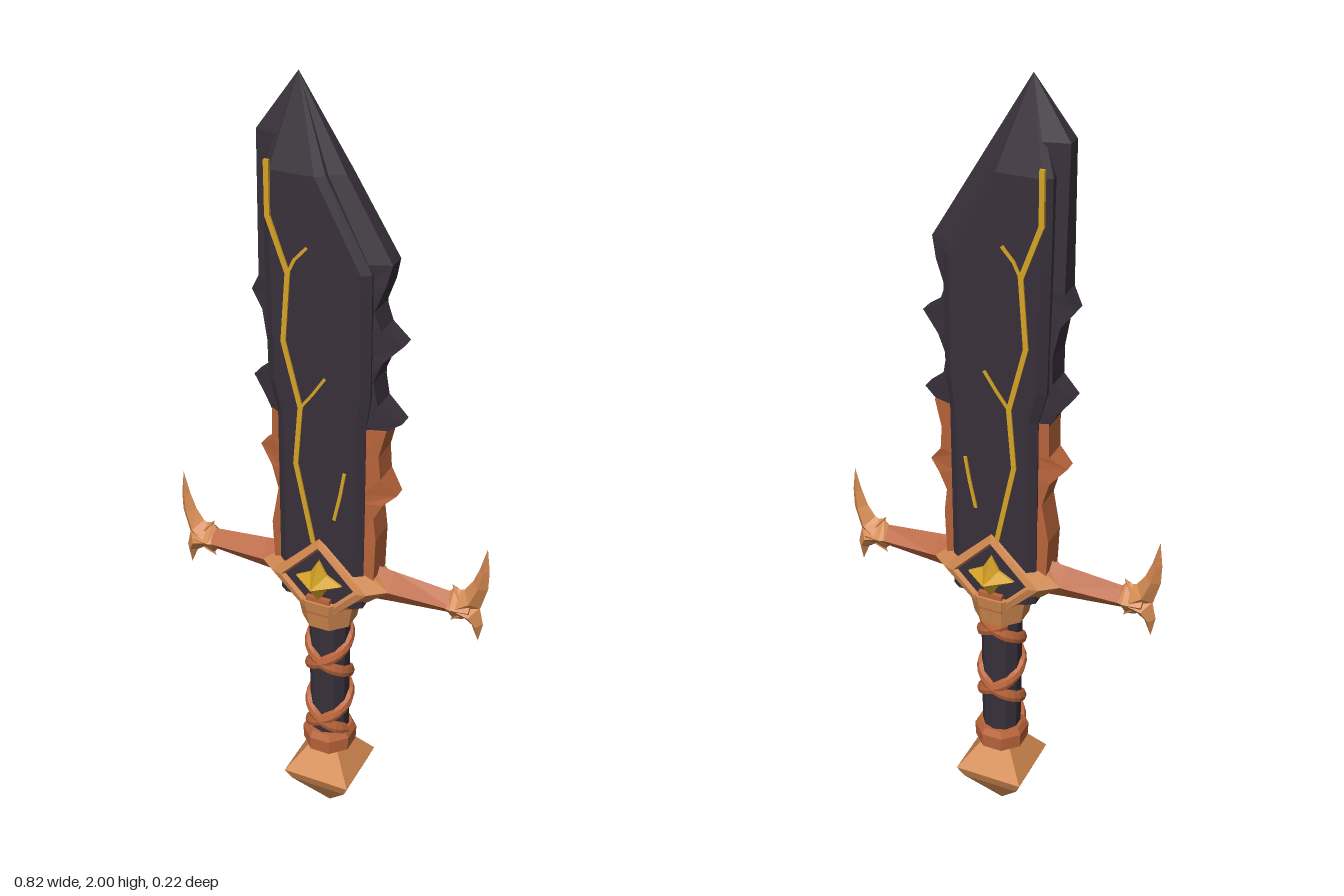
import * as THREE from 'three';

const mat = (name, color) => {
  const m = new THREE.MeshStandardMaterial({ color, flatShading: true });
  m.name = name;
  return m;
};

// Skin a list of equal-length point rings, cap both ends, and face outward.
function loft(rings) {
  const pos = [];
  const tri = (a, b, c) => pos.push(...a, ...b, ...c);
  const n = rings[0].length;
  for (let i = 0; i < rings.length - 1; i++) {
    for (let j = 0; j < n; j++) {
      const k = (j + 1) % n, a = rings[i], b = rings[i + 1];
      tri(a[j], a[k], b[k]);
      tri(a[j], b[k], b[j]);
    }
  }
  const first = rings[0], last = rings[rings.length - 1];
  for (let j = 1; j < n - 1; j++) {
    tri(first[0], first[j + 1], first[j]);
    tri(last[0], last[j], last[j + 1]);
  }
  // A negative signed volume means the corners run the wrong way round
  let volume = 0;
  const a = new THREE.Vector3(), b = new THREE.Vector3(), c = new THREE.Vector3();
  for (let i = 0; i < pos.length; i += 9) {
    a.fromArray(pos, i); b.fromArray(pos, i + 3); c.fromArray(pos, i + 6);
    volume += a.dot(b.cross(c));
  }
  if (volume < 0) {
    for (let i = 0; i < pos.length; i += 9) {
      for (let k = 0; k < 3; k++) [pos[i + 3 + k], pos[i + 6 + k]] = [pos[i + 6 + k], pos[i + 3 + k]];
    }
  }
  const g = new THREE.BufferGeometry();
  g.setAttribute('position', new THREE.Float32BufferAttribute(pos, 3));
  g.computeVertexNormals();
  return g;
}

export function createModel() {
  const dark = mat('dark steel', 0x38303a);
  const light = mat('light copper', 0xd48a52);
  const copper = mat('deep copper', 0xb9643a);
  const gold = mat('gold', 0xd6a326);

  const model = new THREE.Group();
  model.name = 'sword';
  const add = (name, geometry, material, x = 0, y = 0, z = 0) => {
    const m = new THREE.Mesh(geometry, material);
    m.name = name;
    m.position.set(x, y, z);
    model.add(m);
    return m;
  };

  // Blade core: y, left x, right x, half thickness
  const core = [
    [0.72, -0.11, 0.108, 0.06], [1.22, -0.11, 0.11, 0.06], [1.3, -0.13, 0.12, 0.06],
    [1.6, -0.135, 0.12, 0.06], [1.8, -0.135, 0.01, 0.056], [2, -0.07, -0.07, 0],
  ];
  add('bladeCore', loft(core.map(([y, l, r, t]) => {
    const c = Math.min(0.02, (r - l) / 4), e = t * 0.75;
    return [[l, y, e], [l + c, y, t], [r - c, y, t], [r, y, e],
      [r, y, -e], [r - c, y, -t], [l + c, y, -t], [l, y, -e]];
  })), dark);

  // Jagged edges: y, outer x, outer half thickness, inner x, inner half thickness
  const edge = (name, rows, side, material) => add(name, loft(rows.map(
    ([y, xo, zo, xi = side * 0.1, zi = 0.045]) => [[xi, y, zi], [xo, y, zo], [xo, y, -zo], [xi, y, -zi]])), material);
  edge('leftSideBladeTeeth', [
    [1.21, 0.14, 0.034], [1.24, 0.187, 0.018], [1.28, 0.133, 0.034], [1.34, 0.122, 0.036],
    [1.39, 0.142, 0.034], [1.435, 0.187, 0.018], [1.465, 0.138, 0.034], [1.51, 0.122, 0.036],
    [1.57, 0.145, 0.03], [1.62, 0.157, 0.022], [1.8, 0.048, 0.018, -0.02, 0.04], [2, -0.07, 0, -0.07, 0],
  ], 1, dark);
  edge('rightSideBladeTeeth', [
    [1.21, -0.13, 0.034], [1.245, -0.15, 0.03], [1.285, -0.183, 0.018], [1.32, -0.138, 0.034],
    [1.39, -0.138, 0.036], [1.46, -0.152, 0.03], [1.5, -0.183, 0.018], [1.54, -0.16, 0.028],
    [1.87, -0.162, 0.018, -0.1, 0.034], [2, -0.07, 0, -0.07, 0],
  ], -1, dark);
  edge('leftSideCopperEdge', [
    [0.76, 0.13, 0.036], [0.92, 0.135, 0.036], [0.98, 0.128, 0.036], [1.02, 0.15, 0.03],
    [1.045, 0.178, 0.016], [1.09, 0.143, 0.034], [1.15, 0.138, 0.036], [1.22, 0.155, 0.034],
  ], 1, copper);
  edge('rightSideCopperEdge', [
    [0.76, -0.13, 0.036], [0.9, -0.136, 0.036], [1.0, -0.118, 0.036], [1.06, -0.135, 0.034],
    [1.1, -0.172, 0.016], [1.13, -0.133, 0.034], [1.22, -0.132, 0.034],
  ], -1, copper);

  // Glowing cracks on both blade faces
  const cracks = [
    [0.012, [[-0.118, 1.82], [-0.118, 1.7], [-0.072, 1.575], [-0.085, 1.41], [-0.045, 1.25], [-0.058, 1.1], [-0.015, 0.89]]],
    [0.007, [[-0.072, 1.575], [-0.055, 1.61], [-0.028, 1.64]]],
    [0.007, [[-0.045, 1.25], [-0.015, 1.29], [0.015, 1.335]]],
    [0.008, [[0.04, 0.97], [0.055, 1.04], [0.065, 1.1]]],
  ];
  for (const side of [1, -1]) {
    for (const [width, path] of cracks) {
      for (let i = 0; i < path.length - 1; i++) {
        const [x0, y0] = path[i], [x1, y1] = path[i + 1];
        const box = new THREE.BoxGeometry(width, Math.hypot(x1 - x0, y1 - y0) + width * 0.5, 0.008);
        add('crack', box, gold, (x0 + x1) / 2, (y0 + y1) / 2, side * 0.06)
          .rotation.z = Math.atan2(x0 - x1, y1 - y0);
      }
    }
  }

  // Guard centre: bevelled diamond frame around a dark panel
  const cy = 0.775;
  const diamond = (rx, ry, z) => [[rx, cy, z], [0, cy + ry, z], [-rx, cy, z], [0, cy - ry, z]];
  const half = [[0.168, 0.142, 0.03], [0.125, 0.125, 0.064], [0.1, 0.105, 0.07], [0.088, 0.092, 0.057]];
  add('guardFrame', loft([
    ...half.map(([x, y, z]) => diamond(x, y, -z)).reverse(), ...half.map(([x, y, z]) => diamond(x, y, z)),
  ]), light);
  add('guardPanel', loft([diamond(0.092, 0.096, -0.06), diamond(0.092, 0.096, 0.06)]), dark);
  add('guardCollar', new THREE.CylinderGeometry(0.085, 0.068, 0.085, 8).rotateY(Math.PI / 8), light, 0, 0.678);
  add('guardClasp', new THREE.BoxGeometry(0.062, 0.05, 0.145), copper, 0, 0.708);

  // Four-pointed gems on both faces
  for (const side of [1, -1]) {
    const star = (s, z) => Array.from({ length: 8 }, (_, i) => {
      const r = (i % 2 ? 0.03 : 0.06) * s, a = i * Math.PI / 4;
      return [r * Math.cos(a), 0.782 + r * Math.sin(a), side * z];
    });
    add('gem', loft([star(1, 0.05), star(1, 0.066), star(0, 0.112)]), gold);
  }

  // Guard arms with forked claws, mirrored
  for (const s of [1, -1]) {
    const arm = (x, h, d) => [[s * x, cy + h, 0], [s * x, cy, d], [s * x, cy - h, 0], [s * x, cy, -d]];
    add('guardArm', loft([arm(0.08, 0.055, 0.045), arm(0.17, 0.045, 0.032), arm(0.34, 0.029, 0.03)]), copper);
    add('armCuff', loft([arm(0.312, 0.03, 0.03), arm(0.325, 0.046, 0.034), arm(0.345, 0.042, 0.032), arm(0.37, 0.03, 0.028)]), light);
    // Claw rows: x, y, half width across, half depth, direction of the width
    const claw = (name, rows) => add(name, loft(rows.map(([x, y, w, d, a]) => {
      const u = Math.cos(a) * w, v = Math.sin(a) * w;
      return [[s * (x + u), y + v, 0], [s * x, y, d], [s * (x - u), y - v, 0], [s * x, y, -d]];
    })), light);
    claw('upperClaw', [[0.34, 0.78, 0.035, 0.03, -1.2], [0.37, 0.8, 0.03, 0.027, -0.8],
      [0.388, 0.845, 0.02, 0.02, -0.3], [0.396, 0.89, 0.012, 0.012, -0.1], [0.4, 0.952, 0, 0, 0]]);
    claw('lowerClaw', [[0.34, 0.77, 0.035, 0.03, 1.2], [0.37, 0.76, 0.028, 0.027, 0.8],
      [0.386, 0.73, 0.015, 0.016, 0.3], [0.39, 0.683, 0, 0, 0]]);
    for (const v of [1, -1]) {
      claw('clawBarb', [[0.342, cy + v * 0.025, 0.016, 0.018, 0], [0.318, cy + v * 0.053, 0, 0, 0]]);
    }
  }

  // Grip with two crossing straps
  add('grip', new THREE.CylinderGeometry(0.052, 0.05, 0.38, 10), dark, 0, 0.46);
  for (const s of [1, -1]) {
    const rings = [];
    for (let i = 0; i <= 36; i++) {
      const y = 0.29 + i * 0.345 / 36;
      const a = s * (y - 0.33) / 0.19 * Math.PI * 2;
      rings.push([[0.046, -0.018], [0.06, -0.014], [0.064, 0], [0.06, 0.014], [0.046, 0.018]]
        .map(([r, h]) => [r * Math.sin(a), y + h, r * Math.cos(a)]));
    }
    add('gripStrap', loft(rings), copper);
  }

  // Lower collar and pommel
  const profile = [[0, 0.215], [0.05, 0.215], [0.068, 0.23], [0.07, 0.27], [0.06, 0.287], [0, 0.287]];
  add('gripCollar', new THREE.LatheGeometry(profile.map(p => new THREE.Vector2(...p)), 8)
    .rotateY(Math.PI / 8), copper);
  const square = (r, y) => [[r, y, r], [r, y, -r], [-r, y, -r], [-r, y, r]];
  add('pommel', loft([square(0, 0.005), square(0.076, 0.118), square(0.09, 0.152), square(0.042, 0.222)]), light);

  // Rest on the ground
  model.children.forEach(m => { m.position.y -= 0.005; });
  return model;
}
